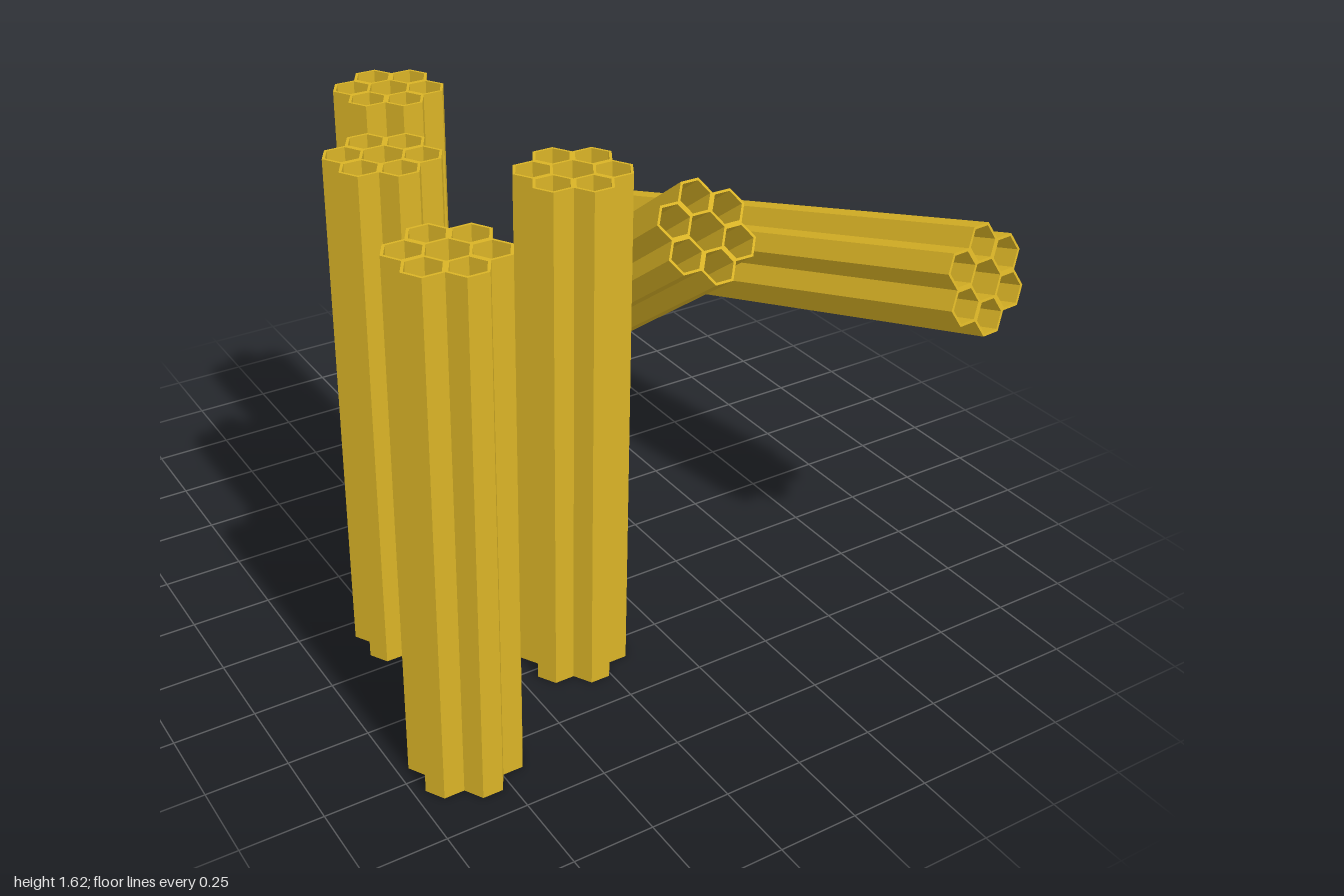
import * as THREE from 'three';

const CELL = 0.0624;   // outer corner radius of one hexagonal tube
const WALL = 0.009;    // wall, measured at the corners
const LENGTH = 1.615;

const gold = new THREE.MeshStandardMaterial({ color: 0xd9b326 });
gold.name = 'gold';

// hexagon with corners pointing left and right
function hexPoints(radius) {
  return Array.from({ length: 6 }, (_, i) => {
    const a = (i * Math.PI) / 3;
    return new THREE.Vector2(radius * Math.cos(a), radius * Math.sin(a));
  });
}

// open hexagonal tube, centred, running along y
function tubeGeometry() {
  const shape = new THREE.Shape(hexPoints(CELL));
  shape.holes.push(new THREE.Path(hexPoints(CELL - WALL).reverse()));
  const geometry = new THREE.ExtrudeGeometry(shape, { depth: LENGTH, bevelEnabled: false });
  geometry.translate(0, 0, -LENGTH / 2);
  geometry.rotateX(-Math.PI / 2);
  return geometry;
}

// six tubes in a ring, leaving an open hexagonal core
function makeBundle(name, geometry) {
  const bundle = new THREE.Group();
  bundle.name = name;
  const pitch = CELL * Math.sqrt(3);
  for (let i = 0; i < 6; i++) {
    const a = Math.PI / 6 + (i * Math.PI) / 3;
    const tube = new THREE.Mesh(geometry, gold);
    tube.name = 'hexTube';
    tube.position.set(pitch * Math.cos(a), 0, pitch * Math.sin(a));
    bundle.add(tube);
  }
  return bundle;
}

export function createModel() {
  const model = new THREE.Group();
  model.name = 'hexTubeBundles';
  const geometry = tubeGeometry();

  // upright bundles: x, z
  const upright = [[-0.44, -0.337], [-0.682, 0.123], [-0.29, 0.48], [-0.81, 0.75]];
  for (const [x, z] of upright) {
    const bundle = makeBundle('uprightBundle', geometry);
    bundle.position.set(x, LENGTH / 2, z);
    model.add(bundle);
  }

  // bundle leaning towards the front
  const leaning = makeBundle('leaningBundle', geometry);
  leaning.position.set(0.232, 0.776, -0.262);
  leaning.rotation.x = 0.918;
  model.add(leaning);

  // bundle tipped further over and swung to the side
  const tipped = makeBundle('tippedBundle', geometry);
  tipped.position.set(0.698, 0.99, 0.182);
  tipped.rotation.set(1.3, 0, -0.136);
  model.add(tipped);

  return model;
}
